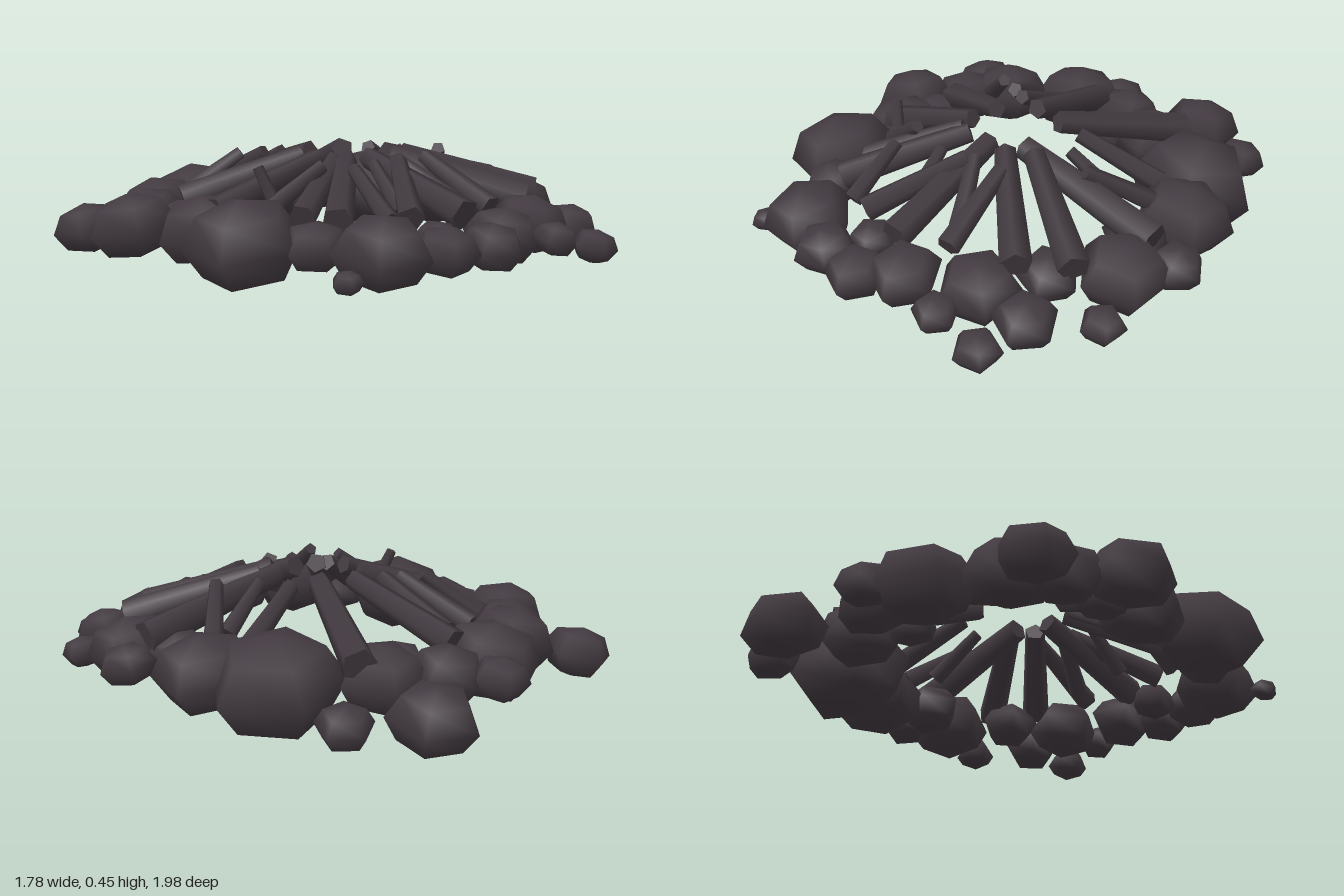
import * as THREE from 'three';

// Stones: x, z, radius, angle of one corner in degrees
const ROCKS = [
  // back arc
  [-0.59, -0.78, 0.14, 0], [0.44, -0.835, 0.165, -98], [0.68, -0.66, 0.105, -79],
  [-0.71, -0.37, 0.17, 50], [-0.52, -0.5, 0.15, 24], [-0.38, -0.61, 0.175, 44],
  [-0.08, -0.71, 0.2, 68], [0.06, -0.84, 0.11, 20], [0.16, -0.69, 0.145, 63],
  [0.34, -0.54, 0.17, 15], [0.15, -0.48, 0.1, 40],
  // right-hand arc
  [0.62, -0.31, 0.25, 8], [0.69, -0.04, 0.195, 55], [0.79, 0.25, 0.108, 15],
  [0.6, 0.18, 0.13, 30], [0.65, 0.38, 0.175, 49], [0.69, 0.62, 0.085, 54],
  [0.43, 0.52, 0.12, 10],
  // front arc
  [0.47, 0.75, 0.12, 18], [0.26, 0.7, 0.155, 50], [0.38, 0.91, 0.09, 52],
  [0.19, 0.86, 0.088, 20], [0, 0.76, 0.14, 18], [-0.16, 0.825, 0.118, 18],
  [-0.34, 0.76, 0.12, 54], [-0.22, 0.64, 0.095, 0], [-0.51, 0.63, 0.177, 0],
  [-0.71, 0.65, 0.055, 50],
  // left-hand arc
  [-0.69, 0.18, 0.22, 12], [-0.58, 0.4, 0.12, 40], [-0.6, -0.12, 0.178, 50],
  [-0.54, -0.29, 0.12, 20],
];

// Sticks: outer x, outer z, inner x, inner z
const STICKS = [
  [-0.6, -0.05, -0.16, 0.04], [-0.49, -0.34, -0.12, -0.07], [-0.37, -0.45, -0.22, -0.3],
  [-0.2, -0.54, -0.14, -0.25], [-0.07, -0.52, -0.085, -0.21], [0.05, -0.64, 0.015, -0.15],
  [0.47, -0.55, 0.14, -0.09], [0.56, -0.12, 0.25, -0.05], [0.59, 0.02, 0.4, 0.19],
  [0.48, 0.06, 0.28, 0.08], [0.7, 0.25, 0.12, 0.14], [0.54, 0.54, 0.18, 0.17],
  [0.36, 0.62, 0.075, 0.2], [0.1, 0.64, 0.13, 0.32], [0.07, 0.52, 0, 0.29],
  [-0.1, 0.67, -0.01, 0.16], [-0.29, 0.58, -0.02, 0.31], [-0.18, 0.45, -0.14, 0.29],
  [-0.37, 0.55, -0.31, 0.34], [-0.5, 0.43, -0.11, 0.14], [-0.5, 0.27, -0.15, 0.12],
  [-0.5, 0.1, -0.31, 0.2], [-0.46, 0.12, -0.5, 0.06],
];

const UP = new THREE.Vector3(0, 1, 0);

// Five-sided stone, leaning outwards; the outermost stones lie lower
function makeRock([x, z, r, corner], geometry, material) {
  const rock = new THREE.Mesh(geometry, material);
  rock.name = 'stone';
  rock.position.set(x, 0.185 - 0.45 * Math.max(0, Math.hypot(x, z) - 0.82), z);
  rock.scale.set(r, r * 0.71, r);
  rock.quaternion.setFromAxisAngle(new THREE.Vector3(z, 0, -x).normalize(), 0.2);
  rock.rotateY(Math.PI - THREE.MathUtils.degToRad(corner));
  return rock;
}

// Tapered stick rising towards the middle; longer sticks are thicker
function makeStick([ox, oz, ix, iz], i, material) {
  const outer = new THREE.Vector3(ox, 0.26, oz);
  const inner = new THREE.Vector3(ix, 0.415, iz);
  const along = inner.clone().sub(outer);
  const length = along.length();
  const width = 0.025 + 0.14 * length;
  const stick = new THREE.Mesh(
    new THREE.CylinderGeometry(width * 0.42, width * 0.6, length, 5), material);
  stick.name = 'stick';
  stick.position.copy(outer).lerp(inner, 0.5);
  stick.quaternion.setFromUnitVectors(UP, along.normalize());
  stick.rotateY(i * 1.3);
  return stick;
}

export function createModel() {
  const charcoal = new THREE.MeshStandardMaterial({ color: 0x423a40 });
  charcoal.name = 'charcoal';
  const rockGeometry = new THREE.SphereGeometry(1, 5, 4);

  const rocks = new THREE.Group();
  rocks.name = 'stoneRing';
  ROCKS.forEach((rock) => rocks.add(makeRock(rock, rockGeometry, charcoal)));

  const sticks = new THREE.Group();
  sticks.name = 'burntSticks';
  STICKS.forEach((stick, i) => sticks.add(makeStick(stick, i, charcoal)));

  const model = new THREE.Group();
  model.name = 'firePit';
  model.add(rocks, sticks);
  return model;
}
